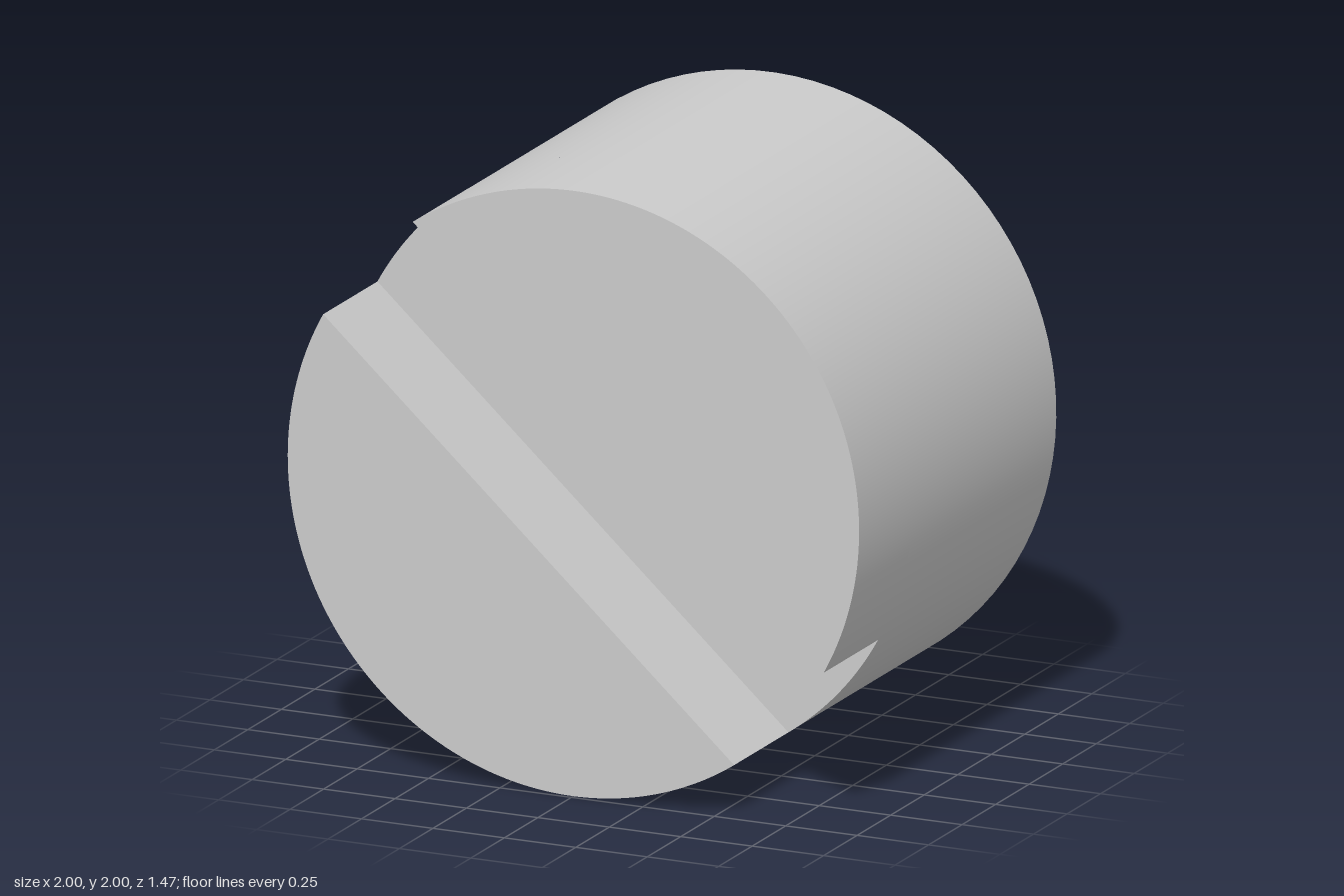
import * as THREE from 'three';

const R = 1, BACK = -0.735, FLOOR = 0.33, FRONT = 0.735;
const HALF = 0.233;                 // half the slot width
const A = Math.asin(HALF / R);      // angle of the slot edge on the rim
const SEG = 96;

export function createModel() {
  const model = new THREE.Group();
  model.name = 'slottedPlug';
  const material = new THREE.MeshStandardMaterial({ color: 0xcccccc });

  const add = (parent, name, geometry) => {
    const mesh = new THREE.Mesh(geometry, material);
    mesh.name = name;
    parent.add(mesh);
  };
  // Open cylinder wall along z between z0 and z1
  const wall = (z0, z1, start = 0, length = Math.PI * 2) =>
    new THREE.CylinderGeometry(R, R, z1 - z0, SEG, 1, true, start, length)
      .rotateX(Math.PI / 2).translate(0, 0, (z0 + z1) / 2);

  // Solid body below the slot
  add(model, 'bodyWall', wall(BACK, FLOOR));
  add(model, 'backFace', new THREE.CircleGeometry(R, SEG).rotateY(Math.PI).translate(0, 0, BACK));

  // Slot floor, a strip with rounded ends
  const floor = new THREE.Shape();
  floor.absarc(0, 0, R, -A, A, false);
  floor.absarc(0, 0, R, Math.PI - A, Math.PI + A, false);
  add(model, 'slotFloor', new THREE.ShapeGeometry(floor, 16).translate(0, 0, FLOOR));

  // The two raised halves on either side of the slot
  const cap = new THREE.Shape();
  cap.absarc(0, 0, R, A, Math.PI - A, false);
  for (const [name, turn] of [['upperHalf', 0], ['lowerHalf', Math.PI]]) {
    const half = new THREE.Group();
    half.name = name;
    half.rotation.z = turn;
    add(half, 'rimWall', wall(FLOOR, FRONT, A + Math.PI / 2, Math.PI - 2 * A));
    add(half, 'frontFace', new THREE.ShapeGeometry(cap, SEG / 2).translate(0, 0, FRONT));
    add(half, 'slotWall', new THREE.PlaneGeometry(2 * R * Math.cos(A), FRONT - FLOOR)
      .rotateX(Math.PI / 2).translate(0, HALF, (FLOOR + FRONT) / 2));
    model.add(half);
  }

  // Turn the slot to its diagonal and stand the plug on the ground
  model.rotation.z = -THREE.MathUtils.degToRad(42.3);
  model.position.y = R;
  const root = new THREE.Group();
  root.name = 'plug';
  root.add(model);
  return root;
}
